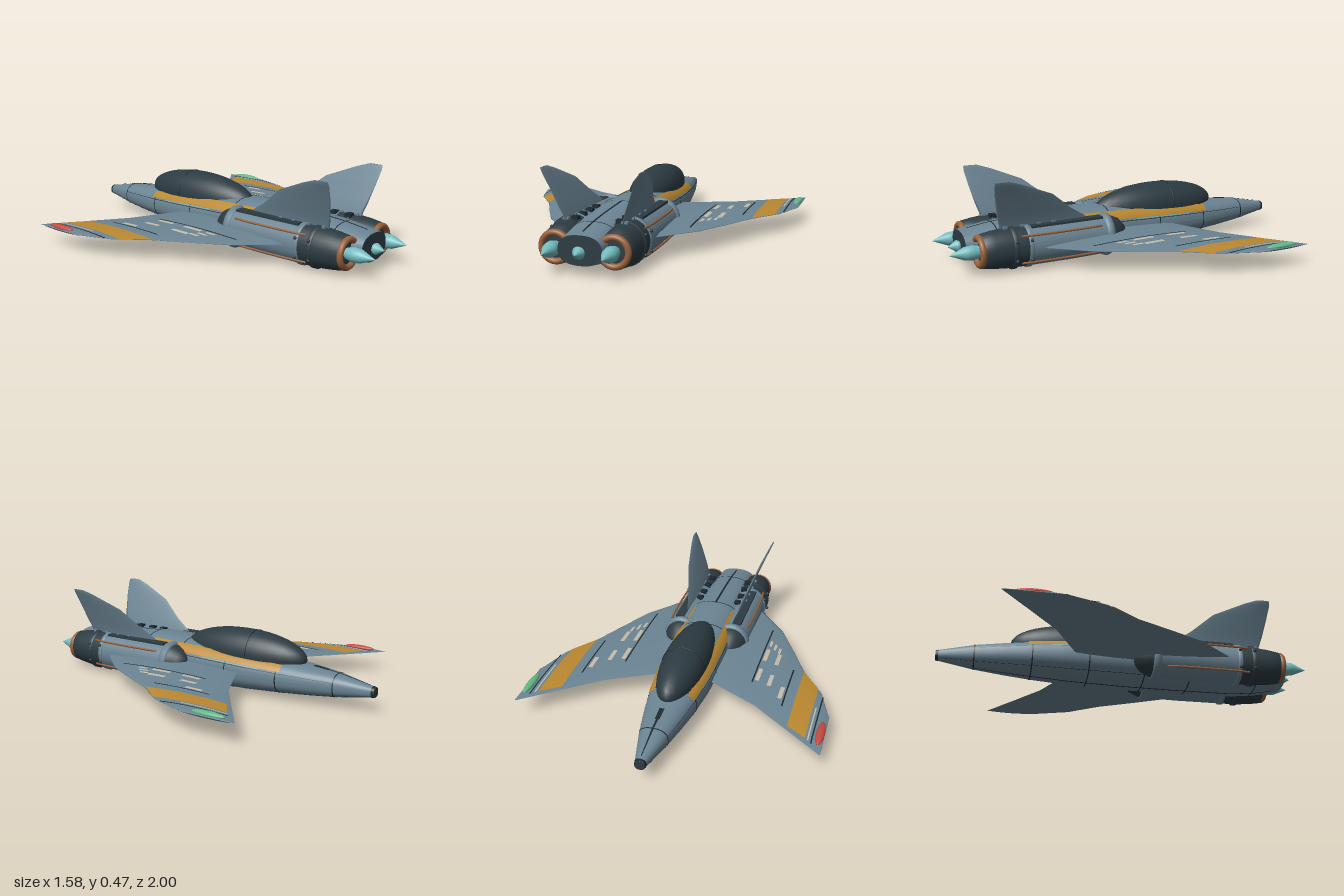
import * as THREE from 'three';

const mat = (name, color) => {
  const m = new THREE.MeshStandardMaterial({ color, side: THREE.DoubleSide });
  m.name = name;
  return m;
};

// Piecewise linear lookup: rows are [key, ...values]
function lookup(rows, k) {
  let i = 0;
  while (i < rows.length - 2 && k > rows[i + 1][0]) i++;
  const a = rows[i], b = rows[i + 1];
  const t = Math.min(1, Math.max(0, (k - a[0]) / (b[0] - a[0])));
  return a.slice(1).map((v, j) => v + (b[j + 1] - v) * t);
}

// Surface patch from a point rule f(u, v)
function patch(f, nu, nv) {
  const pos = [], idx = [];
  for (let i = 0; i <= nu; i++) for (let j = 0; j <= nv; j++) pos.push(...f(i / nu, j / nv));
  for (let i = 0; i < nu; i++) for (let j = 0; j < nv; j++) {
    const a = i * (nv + 1) + j, b = a + nv + 1;
    idx.push(a, a + 1, b, b, a + 1, b + 1);
  }
  const g = new THREE.BufferGeometry();
  g.setAttribute('position', new THREE.Float32BufferAttribute(pos, 3));
  g.setIndex(idx);
  g.computeVertexNormals();
  return g;
}

// z, half width, bottom, top
const HULL = [
  [-1, 0.025, 0.085, 0.135], [-0.8, 0.074, 0.055, 0.175], [-0.65, 0.104, 0.041, 0.192],
  [-0.5, 0.129, 0.03, 0.207], [-0.3, 0.148, 0.018, 0.224], [0, 0.155, 0.01, 0.243],
  [0.3, 0.15, 0.009, 0.25], [0.6, 0.14, 0.012, 0.235], [0.75, 0.127, 0.026, 0.222], [0.9, 0.11, 0.055, 0.2]];
const pw = (v) => Math.sign(v) * Math.abs(v) ** 0.82;
function hull(z, a, off = 0, k = 1) {
  const [w, b, t] = lookup(HULL, z);
  return [(w + off) * k * pw(Math.cos(a)), (b + t) / 2 + ((t - b) / 2 + off) * k * pw(Math.sin(a)), z];
}

// x, leading z, trailing z, centre height, half thickness
const WING = [
  [0.12, -0.265, 0.56, 0.124, 0.021], [0.25, -0.33, 0.53, 0.121, 0.02], [0.41, -0.41, 0.34, 0.118, 0.016],
  [0.5, -0.48, 0.17, 0.116, 0.014], [0.6, -0.555, -0.03, 0.114, 0.012], [0.67, -0.61, -0.13, 0.113, 0.011],
  [0.72, -0.648, -0.2, 0.112, 0.01], [0.785, -0.698, -0.39, 0.111, 0.008]];
const bulge = (u) => Math.sin(Math.PI * Math.min(1, Math.max(0, u))) ** 0.7;
function wingTop(x, z) {
  const [f, r, y, h] = lookup(WING, x);
  return y + h * bulge((z - f) / (r - f));
}

// x, y, leading z, trailing z
const FIN = [[0.14, 0.2, 0.22, 0.735], [0.15, 0.24, 0.27, 0.74], [0.168, 0.29, 0.35, 0.755],
  [0.205, 0.385, 0.47, 0.775], [0.236, 0.455, 0.64, 0.787], [0.246, 0.478, 0.71, 0.785]];

export function createModel() {
  const root = new THREE.Group();
  root.name = 'starfighter';
  const M = {
    body: mat('blueGreyHull', 0x6b8493), dark: mat('darkSlate', 0x2c3b42), seam: mat('seamBlack', 0x1d292f),
    orange: mat('ochreStripe', 0xba8830), copper: mat('copper', 0x96603a), glow: mat('cyanGlow', 0x74bcc0),
    red: mat('redLamp', 0xc64a40), green: mat('greenLamp', 0x62b886), cream: mat('creamMark', 0xc6bcaa)
  };
  const add = (name, geo, m, x = 0, y = 0, z = 0) => {
    const mesh = new THREE.Mesh(geo, m);
    mesh.name = name;
    mesh.position.set(x, y, z);
    root.add(mesh);
    return mesh;
  };
  const box = (name, m, w, h, d, x, y, z) => add(name, new THREE.BoxGeometry(w, h, d), m, x, y, z);
  const lathe = (pts, n = 28) =>
    new THREE.LatheGeometry(pts.map((p) => new THREE.Vector2(...p)), n).rotateX(Math.PI / 2);
  const ball = (rx, ry, rz) => new THREE.SphereGeometry(1, 32, 20).scale(rx, ry, rz);
  // Thin strip following the hull between two z values and two angles
  const hullStrip = (name, m, z0, z1, a0, a1, off = 0.003) => add(name,
    patch((u, v) => hull(z0 + (z1 - z0) * u, a0 + (a1 - a0) * v, off),
      Math.max(1, Math.ceil((z1 - z0) * 24)), Math.max(1, Math.ceil(Math.abs(a1 - a0) * 8))), m);

  // Fuselage and end caps
  add('fuselage', patch((u, v) => hull(-1 + 1.9 * u, v * Math.PI * 2), 38, 48), M.body);
  const cap = (z) => patch((u, v) => hull(z, v * Math.PI * 2, 0, u), 1, 48);
  add('noseCap', cap(-1), M.dark);
  add('tailPlate', cap(0.9), M.dark);
  hullStrip('noseTipBand', M.seam, -1, -0.985, 0, Math.PI * 2, 0.001);

  // Panel seams
  for (const z of [-0.8, -0.5, -0.2, 0.1, 0.35, 0.73]) hullStrip('panelSeam', M.seam, z - 0.003, z + 0.003, 0, Math.PI * 2, 0.0015);
  const up = Math.PI / 2;
  hullStrip('noseSpineLine', M.seam, -0.97, -0.66, up - 0.035, up + 0.035);
  hullStrip('noseProbe', M.seam, -0.74, -0.66, up - 0.08, up + 0.08, 0.004);
  hullStrip('tailSpineLine', M.seam, 0.35, 0.86, up - 0.02, up + 0.02);
  hullStrip('keelLine', M.seam, -0.8, 0.85, -up - 0.015, -up + 0.015, 0.0015);

  // Canopy with frame hoop
  add('canopy', ball(0.119, 0.125, 0.372), M.dark, 0, 0.21, -0.24);
  add('canopyFrame', new THREE.TorusGeometry(1, 0.012, 6, 40, Math.PI).scale(0.118, 0.124, 0.25), M.seam, 0, 0.21, -0.31);

  // Tail spike
  add('centreThruster', lathe([[0.025, 0], [0.031, 0.015], [0, 0.062]]), M.glow, 0, 0.12, 0.9);

  for (const s of [1, -1]) {
    const side = s > 0 ? 'left' : 'right';
    const ang = (a) => (s > 0 ? a : Math.PI - a);

    // Hull paint and side seams
    hullStrip(side + 'ShoulderStripe', M.orange, -0.52, 0.31, ang(0.42), ang(0.9), 0.005);
    hullStrip(side + 'GlowLine', M.glow, -0.4, -0.05, ang(0.36), ang(0.4), 0.004);
    hullStrip(side + 'UpperSeam', M.seam, -0.8, 0.1, ang(0.3), ang(0.33), 0.0015);
    hullStrip(side + 'LowerSeam', M.seam, -0.95, 0.7, ang(-0.8), ang(-0.78), 0.0015);

    // Wing: lens sections from root to a closed tip
    const xs = [...WING.map((r) => r[0]), 0.79];
    add(side + 'Wing', patch((u, v) => {
      const x = xs[Math.round(u * (xs.length - 1))];
      const [f, r, y, h] = lookup(WING, x);
      const c = 0.5 - 0.5 * Math.cos(v * Math.PI * 2);
      const t = (v < 0.5 ? 1 : -1) * bulge(c) * (x > 0.787 ? 0 : h);
      return [s * x, y + t, f + (r - f) * c];
    }, xs.length - 1, 28), M.body);

    // Wing paint: quads from [x0, front, rear] to [x1, front, rear]
    const paint = (name, m, x0, f0, r0, x1, f1, r1) => add(side + name, patch((u, v) => {
      const x = x0 + (x1 - x0) * u, f = f0 + (f1 - f0) * u, r = r0 + (r1 - r0) * u, z = f + (r - f) * v;
      return [s * x, wingTop(x, z) + 0.003, z];
    }, 6, 14), m);
    paint('WingStripe', M.orange, 0.6, -0.53, -0.04, 0.7, -0.6, -0.17);
    paint('WingThinStripe', M.cream, 0.712, -0.61, -0.35, 0.719, -0.615, -0.35);
    paint('WingOuterSeam', M.seam, 0.731, -0.63, -0.24, 0.738, -0.635, -0.24);
    paint('WingMidSeam', M.seam, 0.541, -0.39, -0.05, 0.549, -0.39, -0.05);
    paint('WingInnerSeam', M.seam, 0.351, -0.23, 0.32, 0.359, -0.23, 0.32);
    // Plain worn dashes
    for (const [x, f, r] of [[0.365, -0.21, -0.1], [0.365, -0.02, 0.1], [0.435, -0.24, -0.14],
      [0.435, -0.04, 0.07], [0.51, -0.33, -0.23]]) paint('WingDash', M.cream, x, f, r, x + 0.022, f, r);
    for (let i = 0; i < 3; i++) {
      const x = 0.37 + i * 0.03, e = 0.2 - i * 0.03;
      paint('WingTick', M.cream, x, e - 0.06, e, x + 0.014, e - 0.07, e - 0.01);
    }

    // Wing tip lamp
    add(side + 'TipLamp', ball(0.021, 0.014, 0.092), s > 0 ? M.green : M.red, s * 0.768, 0.12, -0.545);

    // Engine nacelle: intake, barrel, dark aft section, copper nozzle, exhaust cone
    const ex = s * 0.147, ey = 0.12;
    const part = (name, pts, m) => {
      const p = add(side + name, lathe(pts), m, ex, ey, 0);
      p.scale.y = 1.1;
      return p;
    };
    part('Intake', [[0, 0.03], [0.04, 0.04], [0.07, 0.07], [0.09, 0.12], [0.095, 0.17]], M.dark);
    part('IntakeRing', [[0.09, 0.128], [0.101, 0.132], [0.106, 0.15], [0.101, 0.168], [0.09, 0.172]], M.body);
    part('EngineBarrel', [[0.094, 0.17], [0.097, 0.35], [0.096, 0.59]], M.body);
    part('EngineAft', [[0.096, 0.59], [0.095, 0.7], [0.088, 0.78], [0.08, 0.835], [0.055, 0.84], [0, 0.84]], M.dark);
    for (const z of [0.6, 0.68]) part('EngineBand', [[0.094, z - 0.012], [0.102, z - 0.01], [0.102, z + 0.01], [0.094, z + 0.012]], z < 0.65 ? M.body : M.dark);
    const nozzle = add(side + 'NozzleRing', new THREE.TorusGeometry(0.07, 0.016, 12, 36), M.copper, ex, ey, 0.845);
    nozzle.scale.z = 1.1;
    add(side + 'Exhaust', lathe([[0.026, 0.83], [0.038, 0.88], [0.034, 0.92], [0, 1]]), M.glow, ex, ey, 0);

    // Dark channel, clamps and copper pipes along the nacelle
    box(side + 'Channel', M.dark, 0.05, 0.012, 0.4, s * 0.168, 0.222, 0.38);
    for (const z of [0.42, 0.5, 0.59, 0.68]) {
      box(side + 'Clamp', M.seam, 0.035, 0.02, 0.035, s * 0.115, 0.224, z);
      box(side + 'ClampFoot', M.body, 0.03, 0.014, 0.02, s * 0.15, 0.226, z + 0.03);
    }
    for (const y of [0.19, 0.05]) {
      const pipe = new THREE.CatmullRomCurve3([[0.222, 0.2], [0.229, 0.26], [0.229, 0.58], [0.222, 0.65]]
        .map(([x, z]) => new THREE.Vector3(s * x, y, z)));
      add(side + 'Pipe', new THREE.TubeGeometry(pipe, 20, 0.006, 8), M.copper);
    }
    for (const y of [0.07, 0.17]) for (const z of [0.6, 0.68]) {
      add(side + 'Bolt', new THREE.SphereGeometry(0.009, 8, 6), M.dark, s * 0.243, y, z);
    }

    // Curved tail fin
    const n = FIN.length;
    add(side + 'Fin', patch((u, v) => {
      const i = Math.round(u * n), [x, y, f, r] = FIN[Math.min(i, n - 1)];
      const c = 0.5 - 0.5 * Math.cos(v * Math.PI * 2);
      const t = (v < 0.5 ? 1 : -1) * bulge(c) * (i === n ? 0 : 0.011 - 0.0014 * i);
      return [s * (x + t), y, f + (r - f) * c];
    }, n, 20), M.body);
  }
  return root;
}
